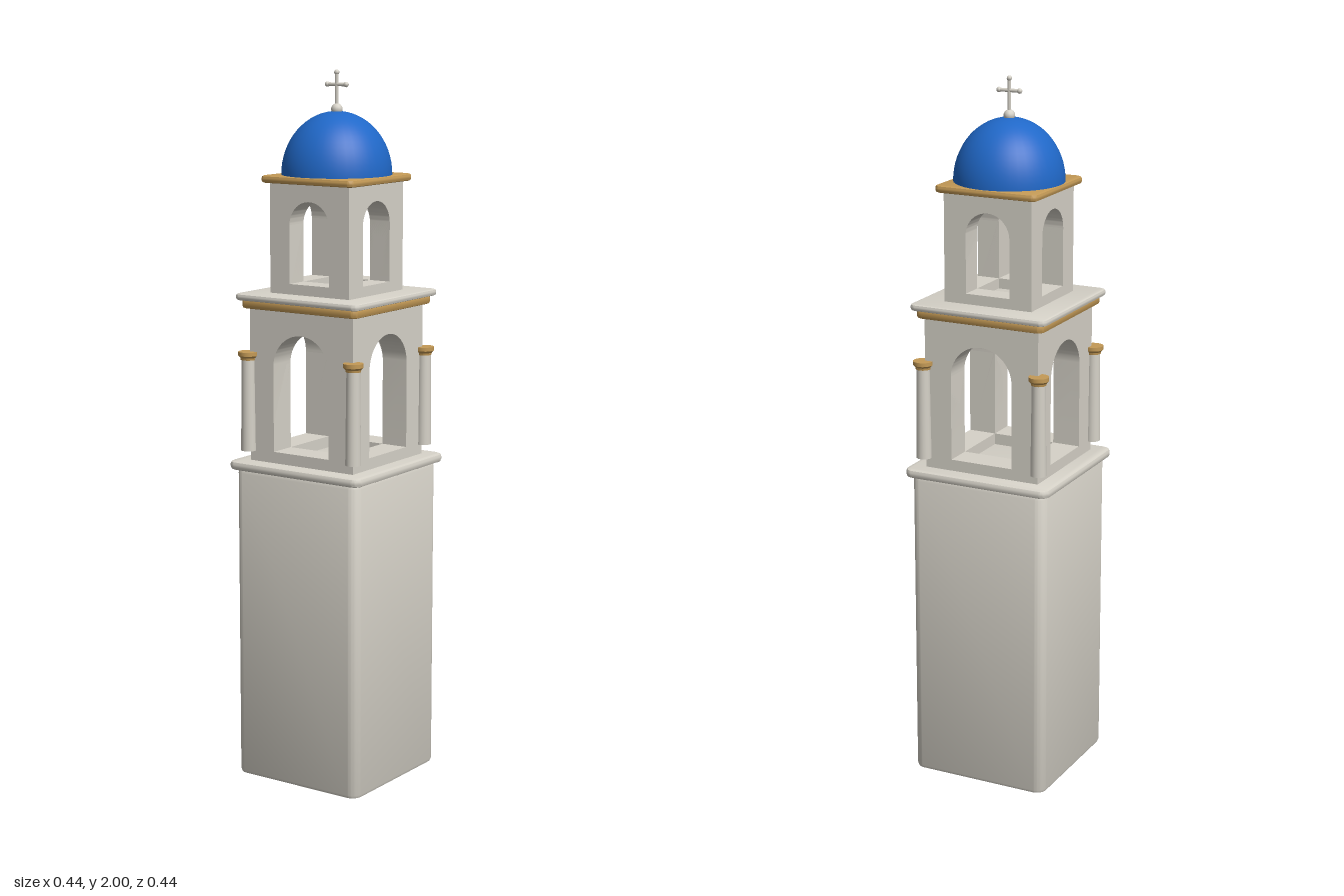
import * as THREE from 'three';
import { toCreasedNormals } from 'three/addons/utils/BufferGeometryUtils.js';

const material = (name, color) => {
  const m = new THREE.MeshStandardMaterial({ color });
  m.name = name;
  return m;
};

export function createModel() {
  const model = new THREE.Group();
  model.name = 'bellTower';
  const stone = material('whitewashed stone', 0xd6d2c8);
  const gold = material('ochre trim', 0xc49a56);
  const blue = material('dome blue', 0x2068c8);

  const add = (name, geometry, mat, x = 0, y = 0, z = 0, parent = model) => {
    const mesh = new THREE.Mesh(geometry, mat);
    mesh.name = name;
    mesh.position.set(x, y, z);
    parent.add(mesh);
    return mesh;
  };

  // Square slab with rounded corners and bevelled rims, from y0 to y1
  const slab = (name, half, y0, y1, radius, bevel, mat) => {
    const h = half - bevel, r = radius;
    const s = new THREE.Shape();
    s.absarc(h - r, h - r, r, 0, Math.PI / 2);
    s.absarc(-h + r, h - r, r, Math.PI / 2, Math.PI);
    s.absarc(-h + r, -h + r, r, Math.PI, Math.PI * 1.5);
    s.absarc(h - r, -h + r, r, Math.PI * 1.5, Math.PI * 2);
    const g = new THREE.ExtrudeGeometry(s, {
      depth: y1 - y0 - 2 * bevel, bevelEnabled: true, bevelSize: bevel,
      bevelThickness: bevel, bevelSegments: 2, curveSegments: 6,
    });
    g.translate(0, 0, bevel).rotateX(-Math.PI / 2);
    add(name, toCreasedNormals(g, 0.5), mat, 0, y0);
  };

  // Four walls, each pierced by a round-headed opening
  const arcade = (name, half, y0, y1, openHalf, sill, crown) => {
    const group = new THREE.Group();
    group.name = name;
    const s = new THREE.Shape();
    s.moveTo(-half, y0).lineTo(half, y0).lineTo(half, y1).lineTo(-half, y1).closePath();
    const hole = new THREE.Path();
    hole.moveTo(-openHalf, sill);
    hole.lineTo(openHalf, sill);
    hole.absarc(0, crown - openHalf, openHalf, 0, Math.PI);
    hole.closePath();
    s.holes.push(hole);
    const depth = half - openHalf;
    const g = toCreasedNormals(new THREE.ExtrudeGeometry(s, {
      depth, bevelEnabled: false, curveSegments: 24,
    }).translate(0, 0, openHalf), 0.5);
    for (let i = 0; i < 4; i++) {
      add('archedWall', g, stone, 0, 0, 0, group).rotation.y = i * Math.PI / 2;
    }
    model.add(group);
  };

  // Shaft and its cornice
  slab('shaft', 0.207, 0, 0.897, 0.02, 0.012, stone);
  slab('shaftCornice', 0.222, 0.895, 0.92, 0.02, 0.009, stone);

  // Lower belfry with bell beam
  arcade('lowerBelfry', 0.173, 0.92, 1.352, 0.093, 0.952, 1.285);
  add('bellBeam', new THREE.BoxGeometry(0.18, 0.018, 0.018), gold, 0, 1.258, 0);

  // Corner columns with flared capitals
  const shaftGeo = new THREE.CylinderGeometry(0.019, 0.022, 0.262, 16);
  const capitalGeo = new THREE.LatheGeometry([
    [0, 0], [0.021, 0], [0.022, 0.006], [0.028, 0.012], [0.028, 0.023], [0, 0.023],
  ].map(([x, y]) => new THREE.Vector2(x, y)), 16);
  const capital = toCreasedNormals(capitalGeo, 0.6);
  for (const x of [-1, 1]) for (const z of [-1, 1]) {
    add('cornerColumn', shaftGeo, stone, x * 0.177, 1.079, z * 0.177);
    add('columnCapital', capital, gold, x * 0.177, 1.205, z * 0.177);
  }

  // Cornice between the two belfries
  slab('lowerBelfryTrim', 0.194, 1.35, 1.376, 0.015, 0.007, gold);
  slab('lowerBelfryCornice', 0.206, 1.373, 1.391, 0.015, 0.006, stone);

  // Upper belfry and its trim
  arcade('upperBelfry', 0.132, 1.39, 1.70, 0.066, 1.42, 1.648);
  slab('upperBelfryTrim', 0.154, 1.695, 1.715, 0.014, 0.007, gold);

  // Dome
  const dome = new THREE.SphereGeometry(0.153, 40, 16, 0, Math.PI * 2, 0, Math.PI / 2);
  dome.scale(1, 1.13, 1);
  add('dome', dome, blue, 0, 1.715, 0);

  // Finial ball and cross
  add('finialBall', new THREE.SphereGeometry(0.016, 12, 8), stone, 0, 1.893, 0);
  add('crossPost', new THREE.CylinderGeometry(0.005, 0.005, 0.095, 8), stone, 0, 1.945, 0);
  add('crossArm', new THREE.CylinderGeometry(0.005, 0.005, 0.062, 8), stone, 0, 1.96, 0).rotation.z = Math.PI / 2;
  const tip = new THREE.SphereGeometry(0.0075, 8, 6);
  for (const [x, y] of [[-0.031, 1.96], [0.031, 1.96], [0, 1.9925]]) {
    add('crossTip', tip, stone, x, y, 0);
  }
  return model;
}
